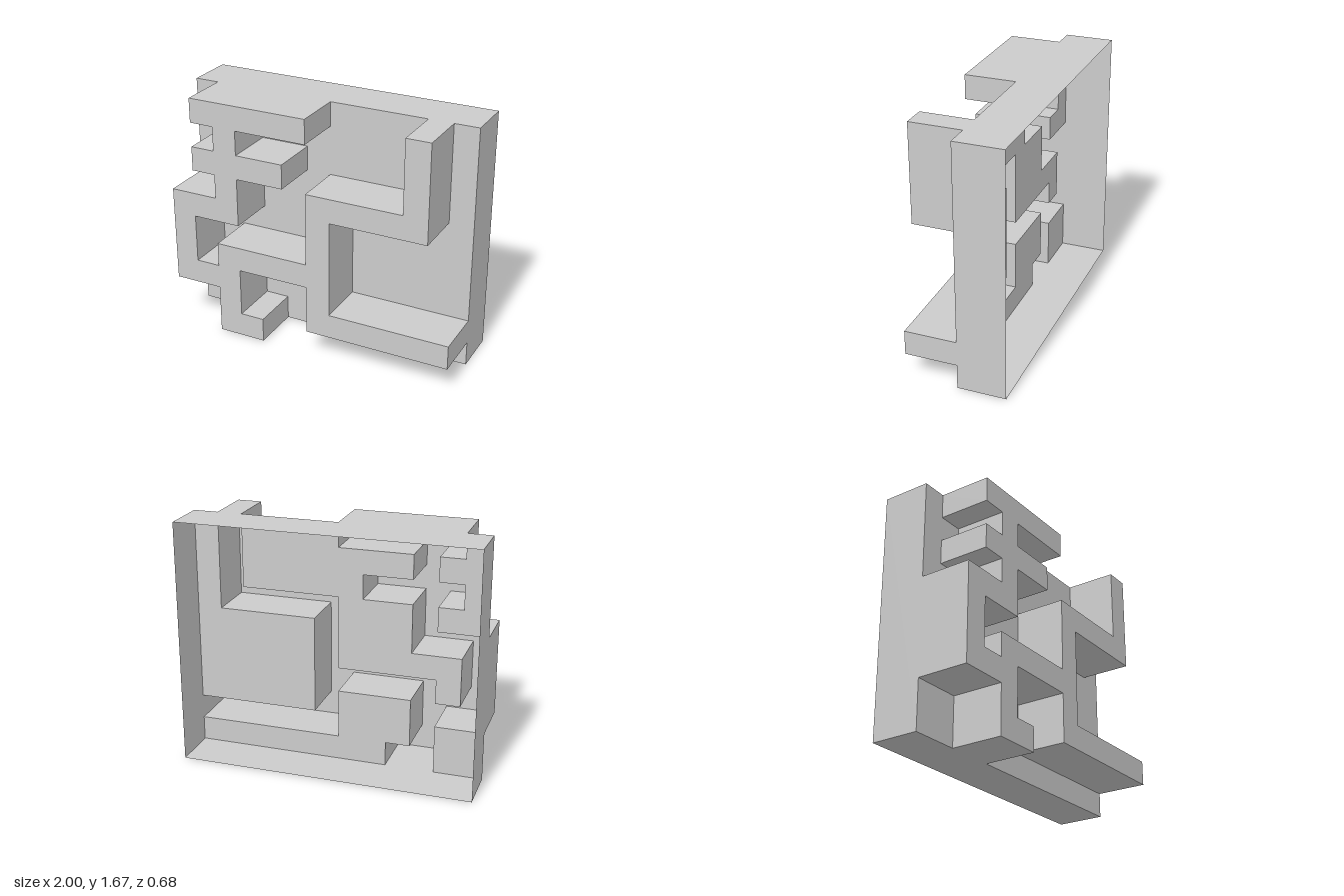
import * as THREE from 'three';

const CELL = 1 / 6;                       // maze grid: 12 x 10 cells
const BACK = -0.338, LOW = -0.012, HIGH = 0.338;

// Outline of the raised path in grid cells, counter-clockwise
const path = [
  [1, 10], [1, 9], [2, 9], [2, 8], [1, 8], [1, 7], [2, 7], [2, 6], [0, 6],
  [0, 2], [2, 2],
  [2, 0], [4, 0], [4, 1], [3, 1], [3, 3], [6, 3], [6, 1], [12, 1],
  [12, 2], [7, 2], [7, 6], [11, 6], [11, 10],
  [10, 10], [10, 7], [6, 7], [6, 4], [2, 4], [2, 3], [1, 3], [1, 5], [3, 5],
  [3, 7], [5, 7], [5, 8], [3, 8], [3, 9], [6, 9], [6, 10],
];

// Sunken areas: a stretch of the path outline closed by the corner of the block
const sunken = [
  [...path.slice(0, 9), [0, 10]],
  [...path.slice(9, 12), [0, 0]],
  [...path.slice(12, 19), [12, 0]],
  [...path.slice(19, 24), [12, 10]],
  path.slice(24, 40),
];

const toPoints = (cells) => cells.map(([c, r]) => new THREE.Vector2(c * CELL - 1, r * CELL));

// Flat face at depth z
function face(cells, z) {
  return new THREE.ShapeGeometry(new THREE.Shape(toPoints(cells))).translate(0, 0, z);
}

// Band of walls following a closed counter-clockwise outline
function walls(cells, z0, z1) {
  const pts = toPoints(cells), pos = [];
  pts.forEach((a, i) => {
    const b = pts[(i + 1) % pts.length];
    pos.push(a.x, a.y, z0, b.x, b.y, z0, b.x, b.y, z1);
    pos.push(a.x, a.y, z0, b.x, b.y, z1, a.x, a.y, z1);
  });
  const g = new THREE.BufferGeometry();
  g.setAttribute('position', new THREE.Float32BufferAttribute(pos, 3));
  g.computeVertexNormals();
  return g;
}

export function createModel() {
  const group = new THREE.Group();
  group.name = 'mazeBlock';
  const material = new THREE.MeshStandardMaterial({ color: 0xcccccc, side: THREE.DoubleSide });
  const add = (name, geometry) => {
    const mesh = new THREE.Mesh(geometry, material);
    mesh.name = name;
    group.add(mesh);
    return mesh;
  };

  // Hollow base frame, open at the back
  add('baseSides', walls([[0, 0], [12, 0], [12, 10], [0, 10]], BACK, LOW));
  sunken.forEach((cells, i) => add('sunkenFloor' + (i + 1), face(cells, LOW)));

  // Raised path
  add('pathSides', walls(path, LOW, HIGH));
  add('pathTop', face(path, HIGH));

  // Small square markers at the ends of the path
  [[4.5, 7.5], [10.5, 9.5], [2.5, 0.5], [11.5, 1.5]].forEach(([c, r], i) => {
    add('endMarker' + (i + 1), new THREE.PlaneGeometry(0.12, 0.12))
      .position.set(c * CELL - 1, r * CELL, HIGH + 0.001);
  });

  return group;
}
